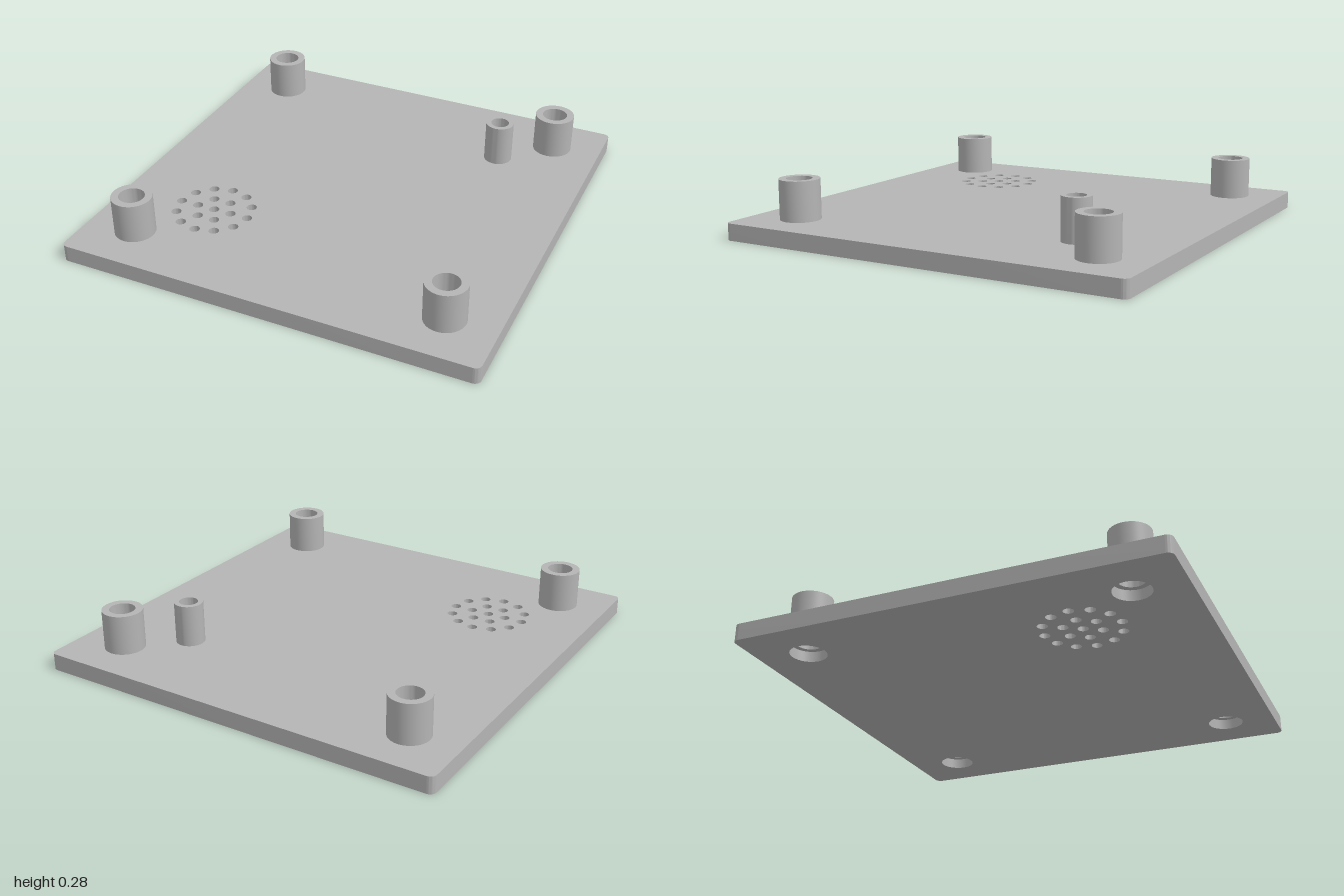
import * as THREE from 'three';
import { toCreasedNormals } from 'three/addons/utils/BufferGeometryUtils.js';

const PLATE = 0.08, BORE = 0.085, CREASE = 0.6;
const bossSpots = [[-0.76, -0.76], [0.76, -0.76], [-0.76, 0.76], [0.76, 0.76]];

// Turned part from [radius, height] pairs, outer wall upwards first
function turned(name, profile, x, z, material) {
  const points = profile.map(([r, y]) => new THREE.Vector2(r, y));
  const mesh = new THREE.Mesh(toCreasedNormals(new THREE.LatheGeometry(points, 48), CREASE), material);
  mesh.name = name;
  mesh.position.set(x, 0, z);
  return mesh;
}

// Square outline with rounded corners
function plateOutline(h, r) {
  const shape = new THREE.Shape();
  const c = h - r;
  [[c, c], [-c, c], [-c, -c], [c, -c]].forEach(([x, y], i) =>
    shape.absarc(x, y, r, i * Math.PI / 2, (i + 1) * Math.PI / 2, false));
  shape.closePath();
  return shape;
}

export function createModel() {
  const group = new THREE.Group();
  group.name = 'mountingPlate';
  const grey = new THREE.MeshStandardMaterial({ color: 0xb4b4b4 });
  grey.name = 'grey plastic';

  // Base plate with screw bores and a round grille of small holes
  const outline = plateOutline(1, 0.03);
  const addHole = (x, z, r) =>
    outline.holes.push(new THREE.Path().absarc(x, -z, r, 0, Math.PI * 2, true));
  bossSpots.forEach(([x, z]) => addHole(x, z, BORE));
  for (const [count, ring] of [[1, 0], [6, 0.088], [12, 0.177]]) {
    for (let i = 0; i < count; i++) {
      const a = i / count * Math.PI * 2;
      addHole(-0.52 + ring * Math.cos(a), 0.46 + ring * Math.sin(a), 0.024);
    }
  }
  const plateGeometry = new THREE.ExtrudeGeometry(outline, { depth: PLATE, bevelEnabled: false, curveSegments: 16 });
  plateGeometry.rotateX(-Math.PI / 2);
  const plate = new THREE.Mesh(toCreasedNormals(plateGeometry, CREASE), grey);
  plate.name = 'basePlate';
  group.add(plate);

  // Hollow corner bosses, stepped to the wider bore below
  const bossProfile = [[0.095, PLATE], [0.095, 0.27], [0.06, 0.27], [0.06, 0.05], [BORE, 0.05]];
  bossSpots.forEach(([x, z]) => group.add(turned('cornerBoss', bossProfile, x, z, grey)));

  // Slim post with a blind hole
  const postProfile = [[0.068, PLATE], [0.068, 0.28], [0.044, 0.28], [0.044, PLATE + 0.001], [0, PLATE + 0.001]];
  group.add(turned('post', postProfile, 0.54, -0.55, grey));

  return group;
}
